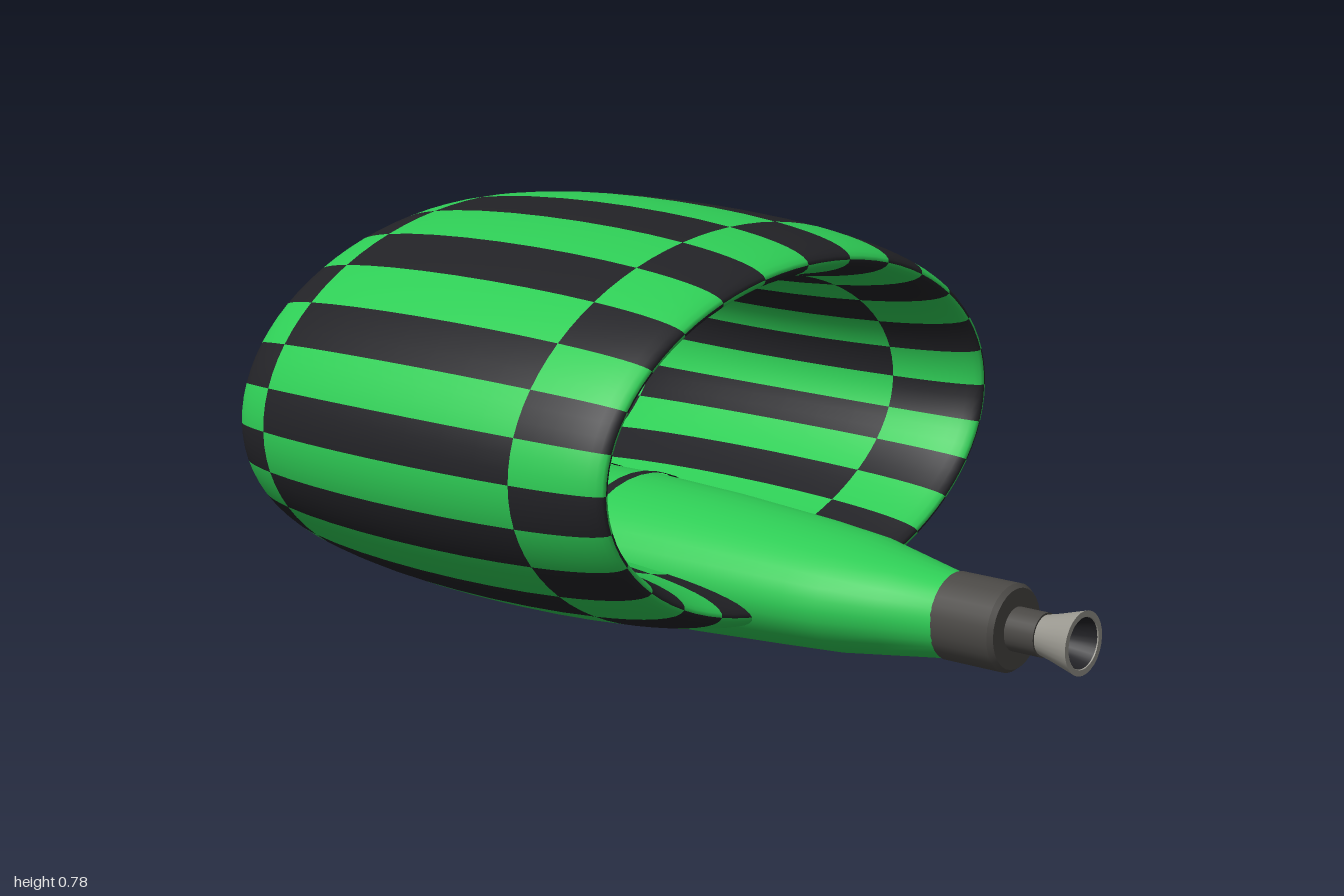
import * as THREE from 'three';
import { mergeGeometries } from 'three/addons/utils/BufferGeometryUtils.js';

const material = (color) => new THREE.MeshStandardMaterial({ color, side: THREE.DoubleSide });
const green = material(0x2ecc55);
const black = material(0x222226);
const glass = material(0x2a3040);
const engineGrey = material(0x4a4845);
const nozzleGrey = material(0x9a9890);

// Grid over a parametric surface, with smooth normals taken from the rule itself
function surface(rule, u0, u1, v0, v1, nu, nv) {
  const position = [], normal = [], index = [], e = 0.02;
  for (let j = 0; j <= nv; j++) {
    for (let i = 0; i <= nu; i++) {
      const u = u0 + (u1 - u0) * i / nu, v = v0 + (v1 - v0) * j / nv;
      position.push(...rule(u, v).toArray());
      const du = rule(u + e, v).sub(rule(u - e, v));
      const dv = rule(u, v + e).sub(rule(u, v - e));
      normal.push(...du.cross(dv).normalize().toArray());
      if (i < nu && j < nv) {
        const a = j * (nu + 1) + i, b = a + nu + 1;
        index.push(a, a + 1, b, a + 1, b + 1, b);
      }
    }
  }
  const g = new THREE.BufferGeometry();
  g.setAttribute('position', new THREE.Float32BufferAttribute(position, 3));
  g.setAttribute('normal', new THREE.Float32BufferAttribute(normal, 3));
  g.setIndex(index);
  return g;
}

// Ring wing: flattened section swept round an ellipse
const wing = (u, v) => {
  const d = 0.06 * Math.sin(v);
  return new THREE.Vector3(
    (0.56 + d) * Math.sin(u), 0.41 + (0.315 + d) * Math.cos(u), -0.035 + 0.435 * Math.cos(v));
};

// Hull stations: z, half width, top, bottom
const stations = [
  [0.74, 0.078, 0.212, 0.062], [0.53, 0.148, 0.245, 0.036], [0.4, 0.165, 0.256, 0.028],
  [0.2, 0.18, 0.268, 0.016], [0, 0.186, 0.275, 0.008], [-0.25, 0.185, 0.272, 0.012],
  [-0.5, 0.17, 0.26, 0.032], [-0.75, 0.112, 0.222, 0.064], [-0.88, 0.055, 0.182, 0.102],
  [-0.985, 0.008, 0.152, 0.134],
];
const hull = (grow) => (u, v) => {
  const z = THREE.MathUtils.clamp(-v, -0.985, 0.74);
  let k = 0;
  while (k < stations.length - 2 && z < stations[k + 1][0]) k++;
  const a = stations[k], b = stations[k + 1];
  const t = (z - a[0]) / (b[0] - a[0]);
  const [w, top, bottom] = [1, 2, 3].map((n) => a[n] + (b[n] - a[n]) * t);
  return new THREE.Vector3(
    (w + grow) * Math.sin(u),
    (top + bottom) / 2 + ((top - bottom) / 2 + grow) * Math.cos(u), -v);
};

export function createModel() {
  const model = new THREE.Group();
  const add = (name, geometry, mat, parent = model) => {
    const mesh = new THREE.Mesh(geometry, mat);
    mesh.name = name;
    parent.add(mesh);
    return mesh;
  };

  // Checkered ring wing: 28 panels round, 6 rows round the section
  const ring = new THREE.Group();
  ring.name = 'ringWing';
  model.add(ring);
  const rows = [0, 54, 143, 180, 217, 306, 360].map(THREE.MathUtils.degToRad);
  const panels = [[], []];
  const step = Math.PI * 2 / 28;
  for (let r = 0; r < 6; r++) {
    for (let i = 0; i < 28; i++) {
      panels[(r + i) % 2].push(
        surface(wing, i * step, (i + 1) * step, rows[r], rows[r + 1], 3, 8));
    }
  }
  add('darkWingPanels', mergeGeometries(panels[0]), black, ring);
  add('greenWingPanels', mergeGeometries(panels[1]), green, ring);

  // Hull, lofted between its stations
  const sections = stations.slice(1).map((s, k) =>
    surface(hull(0), 0, Math.PI * 2, -stations[k][0], -s[0], 32, 2));
  add('hull', mergeGeometries(sections), green);

  // Dark bands round the hull
  for (const z of [-0.53, -0.4, -0.27, -0.135, 0]) {
    add('hullBand', surface(hull(0.003), 0, Math.PI * 2, -z - 0.011, -z + 0.011, 32, 1), black);
  }

  // Cockpit canopy
  const canopy = add('canopy', new THREE.SphereGeometry(1, 24, 16), glass);
  canopy.scale.set(0.065, 0.055, 0.13);
  canopy.position.set(0, 0.237, -0.45);

  // Small guns either side of the nose
  for (const side of [-1, 1]) {
    const gun = add('noseGun', new THREE.CylinderGeometry(0.008, 0.008, 0.05, 10), black);
    gun.rotation.x = Math.PI / 2;
    gun.position.set(side * 0.032, 0.14, -0.96);
    const mount = add('gunMount', new THREE.BoxGeometry(0.034, 0.01, 0.025), black);
    mount.position.set(side * 0.018, 0.14, -0.948);
  }

  // Engine parts, turned round the z axis
  const turned = (name, points, mat) => {
    const g = new THREE.LatheGeometry(points.map(([r, z]) => new THREE.Vector2(r, z)), 28);
    g.rotateX(Math.PI / 2);
    add(name, g, mat).position.y = 0.138;
  };
  turned('engineHousing', [[0, 0.72], [0.07, 0.72], [0.07, 0.725], [0.08, 0.732], [0.08, 0.732],
    [0.08, 0.853], [0.08, 0.853], [0.073, 0.862], [0.073, 0.862], [0, 0.862]], engineGrey);
  turned('engineNeck', [[0.04, 0.86], [0.04, 0.922], [0.04, 0.922], [0, 0.922]], engineGrey);
  turned('nozzle', [[0.036, 0.92], [0.042, 0.945], [0.058, 1], [0.058, 1], [0.047, 1],
    [0.047, 1], [0.035, 0.95]], nozzleGrey);
  turned('nozzleLining', [[0.046, 0.998], [0.034, 0.95], [0.034, 0.95], [0, 0.95]], black);

  return model;
}
